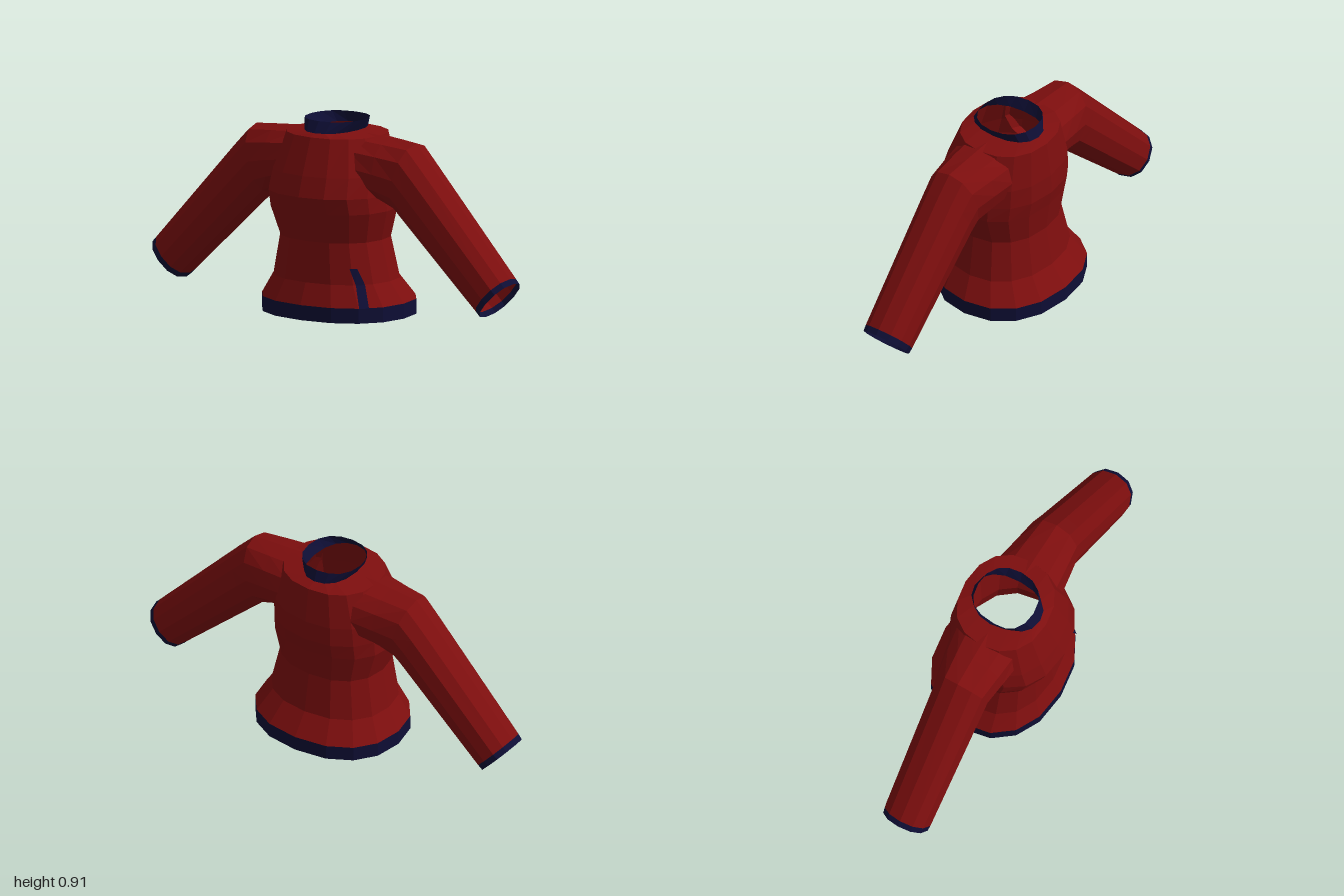
import * as THREE from 'three';

const material = (name, color) => {
  const m = new THREE.MeshStandardMaterial({ color, side: THREE.DoubleSide, flatShading: true });
  m.name = name;
  return m;
};

// Skin a stack of equal-length point rings
function loft(rings, closed = true) {
  const n = rings[0].length, index = [];
  for (let j = 0; j < rings.length - 1; j++) {
    for (let i = 0; i < (closed ? n : n - 1); i++) {
      const k = (i + 1) % n, a = j * n, b = a + n;
      index.push(a + i, a + k, b + k, a + i, b + k, b + i);
    }
  }
  const geo = new THREE.BufferGeometry().setFromPoints(rings.flat());
  geo.setIndex(index);
  geo.computeVertexNormals();
  return geo;
}

const bend = (v, p) => Math.sign(v) * Math.abs(v) ** p;

// Body levels: [y, half width, front z, back z]
const BODY = [
  [0.07, 0.365, 0.30, -0.312], [0.17, 0.30, 0.26, -0.235], [0.36, 0.26, 0.245, -0.20],
  [0.50, 0.30, 0.292, -0.218], [0.575, 0.298, 0.315, -0.232], [0.67, 0.288, 0.285, -0.228],
  [0.84, 0.235, 0.22, -0.205], [0.855, 0.118, 0.19, -0.157],
];
const SIDES = 16;

function bodyRing([y, w, front, back]) {
  return Array.from({ length: SIDES }, (_, i) => {
    const a = (i / SIDES) * Math.PI * 2;
    const z = (front + back) / 2 + ((front - back) / 2) * bend(Math.cos(a), 0.88);
    return new THREE.Vector3(w * bend(Math.sin(a), 0.88), y, z);
  });
}

// Point on the faceted body at a fractional side number and height
function bodyPoint(u, y) {
  const j = BODY.findIndex((l, i) => y <= BODY[i + 1][0]);
  const t = (y - BODY[j][0]) / (BODY[j + 1][0] - BODY[j][0]);
  const level = BODY[j].map((v, i) => THREE.MathUtils.lerp(v, BODY[j + 1][i], t));
  const ring = bodyRing(level), i = Math.floor(u);
  return ring[i].clone().lerp(ring[i + 1], u - i);
}

// Tilted sleeve ring: top and bottom points in the xy plane, front and back z
function sleeveRing([tx, ty, bx, by, front, back], n = 12) {
  return Array.from({ length: n }, (_, i) => {
    const a = (i / n) * Math.PI * 2, c = bend(Math.cos(a), 0.9), s = bend(Math.sin(a), 0.9);
    return new THREE.Vector3(
      (tx + bx) / 2 + ((tx - bx) / 2) * c,
      (ty + by) / 2 + ((ty - by) / 2) * c,
      (front + back) / 2 + ((front - back) / 2) * s);
  });
}

export function createModel() {
  const red = material('red knit', 0x7d0e0e);
  const navy = material('navy trim', 0x0e0e35);
  const group = new THREE.Group();
  group.name = 'sweater';
  const add = (name, geo, mat, parent = group) => {
    const mesh = new THREE.Mesh(geo, mat);
    mesh.name = name;
    parent.add(mesh);
    return mesh;
  };

  // Body with open hem and neck
  add('body', loft(BODY.map(bodyRing)), red);
  add('hemBand', loft([[0, ...BODY[0].slice(1)], BODY[0]].map(bodyRing)), navy);
  add('collar', loft([BODY[BODY.length - 1], [0.906, 0.145, 0.155, -0.137]].map(bodyRing)), navy);

  // Slanted pocket trim on the left hip: [y, inner side, outer side]
  const trim = [[0.07, 2.03, 2.43], [0.17, 2.14, 2.6], [0.245, 1.91, 2.31]].map(([y, u0, u1]) =>
    [u0, u1].map((u) => bodyPoint(u, y).add(new THREE.Vector3(0.005, 0, 0.006))));
  add('pocketTrim', loft(trim, false), navy);

  // Sleeves and cuffs
  const cuffStart = [0.98, 0.256, 0.825, 0.086, 0.135, -0.097];
  const cuffEnd = [1.0, 0.235, 0.845, 0.065, 0.132, -0.093];
  const sleeve = [
    [0.15, 0.85, 0.24, 0.57, 0.185, -0.16],
    [0.31, 0.839, 0.30, 0.545, 0.168, -0.14],
    [0.45, 0.828, 0.365, 0.512, 0.15, -0.118],
    [0.53, 0.745, 0.40, 0.48, 0.148, -0.112],
    cuffStart,
  ];
  for (const [side, sign] of [['left', 1], ['right', -1]]) {
    const arm = new THREE.Group();
    arm.name = `${side}Arm`;
    arm.scale.x = sign;
    group.add(arm);
    add(`${side}Sleeve`, loft(sleeve.map((r) => sleeveRing(r))), red, arm);
    add(`${side}Cuff`, loft([cuffStart, cuffEnd].map((r) => sleeveRing(r))), navy, arm);
  }
  return group;
}
